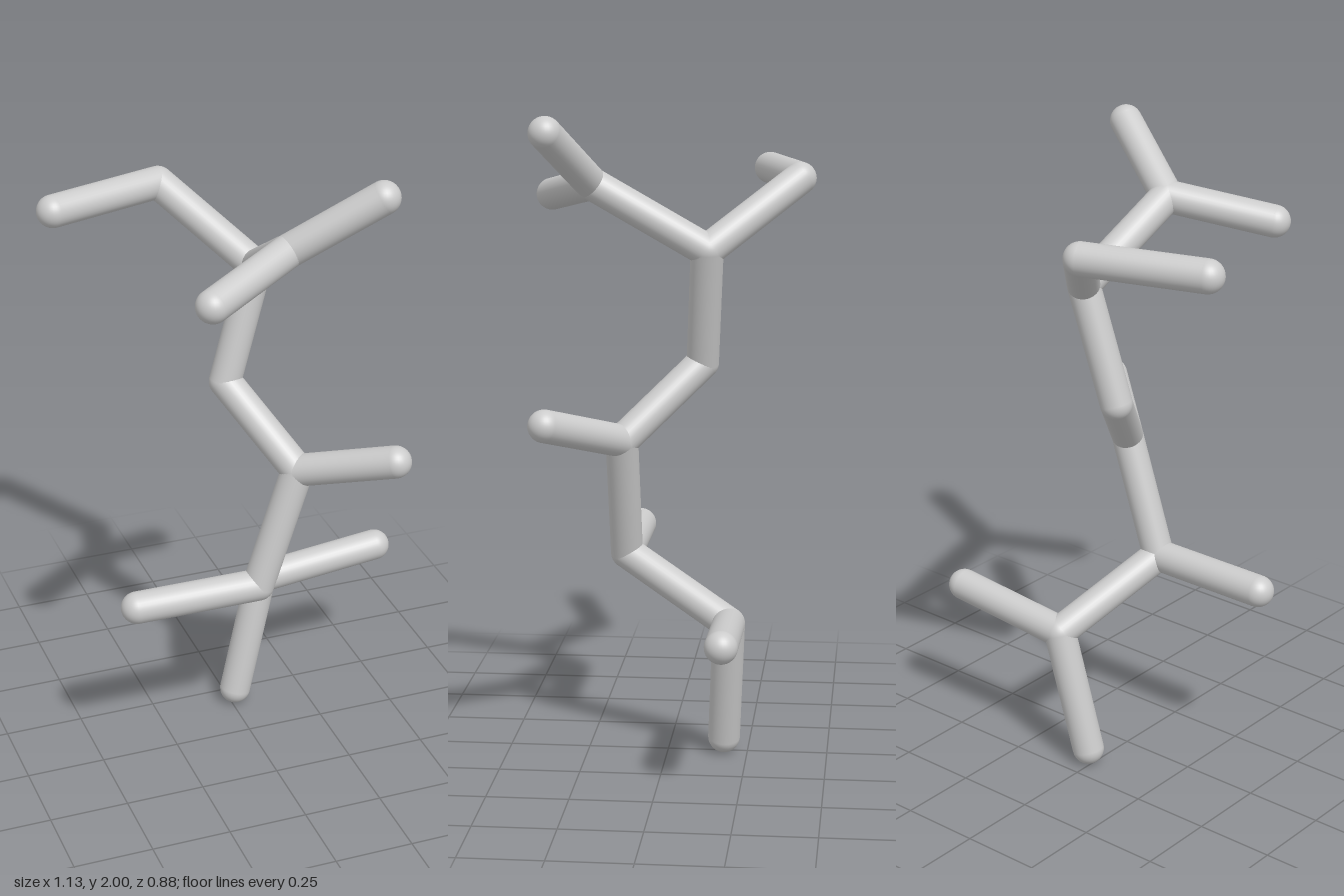
import * as THREE from 'three';

const RADIUS = 0.05;

// Joint and tip positions along the bent chain
const P = {
  foot: [0.015, 0.05, -0.177],
  lowFork: [0.112, 0.445, -0.197],
  lowLeftTip: [0.515, 0.485, -0.202],
  lowBend: [-0.02, 0.63, 0.132],
  lowRightTip: [-0.415, 0.63, 0.13],
  midFork: [0.107, 1.01, 0.132],
  midTip: [0.341, 1.097, 0.336],
  upperBend: [-0.042, 1.23, -0.102],
  topFork: [0.066, 1.59, -0.123],
  frontFork: [0.034, 1.785, 0.23],
  frontLeftTip: [0.28, 1.953, 0.335],
  frontRightTip: [-0.254, 1.725, 0.39],
  backBend: [-0.152, 1.79, -0.392],
  backTip: [-0.517, 1.79, -0.28],
};

// Rods as [name, from, to]
const RODS = [
  ['footRod', 'foot', 'lowFork'],
  ['lowLeftBranch', 'lowFork', 'lowLeftTip'],
  ['lowerStem', 'lowFork', 'lowBend'],
  ['lowRightBranch', 'lowBend', 'lowRightTip'],
  ['middleStem', 'lowBend', 'midFork'],
  ['middleBranch', 'midFork', 'midTip'],
  ['upperStem', 'midFork', 'upperBend'],
  ['neckStem', 'upperBend', 'topFork'],
  ['frontArm', 'topFork', 'frontFork'],
  ['frontLeftBranch', 'frontFork', 'frontLeftTip'],
  ['frontRightBranch', 'frontFork', 'frontRightTip'],
  ['backArm', 'topFork', 'backBend'],
  ['backBranch', 'backBend', 'backTip'],
];

export function createModel() {
  const model = new THREE.Group();
  model.name = 'stickStructure';
  const material = new THREE.MeshStandardMaterial({ color: 0xcccccc });
  const up = new THREE.Vector3(0, 1, 0);

  // Straight rods between joints
  for (const [name, from, to] of RODS) {
    const a = new THREE.Vector3(...P[from]);
    const b = new THREE.Vector3(...P[to]);
    const dir = b.clone().sub(a);
    const rod = new THREE.Mesh(
      new THREE.CylinderGeometry(RADIUS, RADIUS, dir.length(), 32, 1, true), material);
    rod.name = name;
    rod.position.copy(a).add(b).multiplyScalar(0.5);
    rod.quaternion.setFromUnitVectors(up, dir.normalize());
    model.add(rod);
  }

  // Round joints and rounded tips
  const ball = new THREE.SphereGeometry(RADIUS, 32, 20);
  for (const [name, position] of Object.entries(P)) {
    const joint = new THREE.Mesh(ball, material);
    joint.name = name + 'Ball';
    joint.position.set(...position);
    model.add(joint);
  }
  return model;
}
